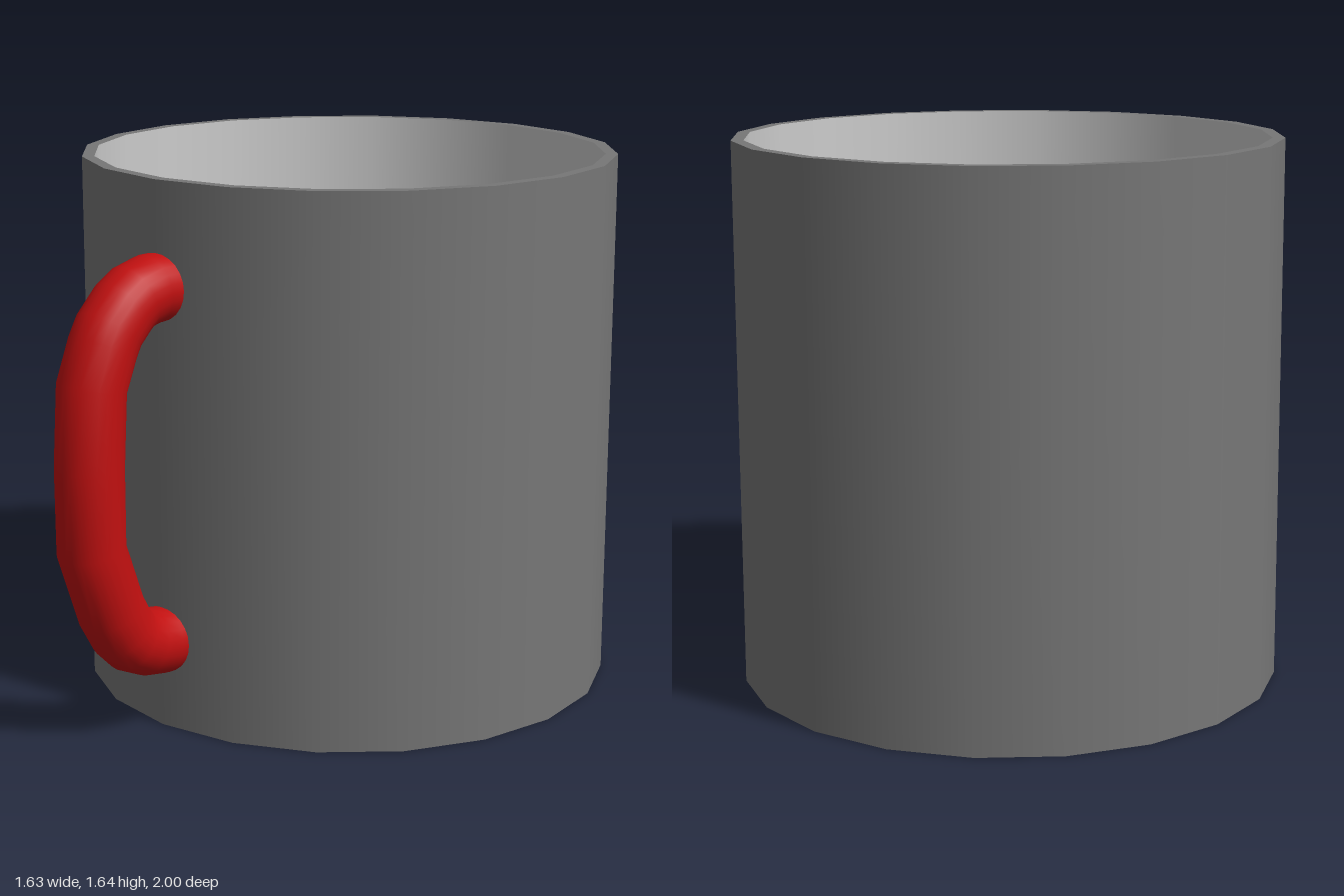
import * as THREE from 'three';

const SIDES = 20;
const R = 0.817, INNER = 0.78, HEIGHT = 1.64, FLOOR = 0.04, CENTRE_Z = -0.183;

// One band of the mug, turned from a two-point profile so its edges stay sharp
function band(name, from, to, material) {
  const profile = [new THREE.Vector2(...from), new THREE.Vector2(...to)];
  const mesh = new THREE.Mesh(new THREE.LatheGeometry(profile, SIDES), material);
  mesh.name = name;
  return mesh;
}

// Tube whose rings sit exactly on the given [z, y] points
function handleGeometry(points, radius) {
  const curve = new THREE.CatmullRomCurve3(points.map(([z, y]) => new THREE.Vector3(0, y, z)));
  curve.getPointAt = curve.getPoint;
  curve.getTangentAt = curve.getTangent;
  return new THREE.TubeGeometry(curve, points.length - 1, radius, 24);
}

export function createModel() {
  const model = new THREE.Group();
  model.name = 'mug';
  const shell = new THREE.MeshStandardMaterial({ color: 0x777777 });
  const lining = new THREE.MeshStandardMaterial({ color: 0xcccccc });
  const red = new THREE.MeshStandardMaterial({ color: 0xc01010 });

  // Cup: outside, rim, hollow inside and base
  const cup = new THREE.Group();
  cup.name = 'cup';
  cup.position.z = CENTRE_Z;
  cup.add(
    band('base', [0, 0], [R, 0], shell),
    band('outerWall', [R, 0], [R, HEIGHT], shell),
    band('rim', [R, HEIGHT], [INNER, HEIGHT], shell),
    band('innerWall', [INNER, HEIGHT], [INNER, FLOOR], lining),
    band('innerFloor', [INNER, FLOOR], [0, FLOOR], lining),
  );

  // Handle: bent tube whose ends are sunk into the wall
  const handle = new THREE.Mesh(handleGeometry([
    [0.6, 1.33], [0.66, 1.33], [0.72, 1.315], [0.76, 1.29], [0.815, 1.235], [0.84, 1.19],
    [0.885, 1.08], [0.9, 0.85], [0.9, 0.61], [0.83, 0.41], [0.79, 0.34], [0.755, 0.305],
    [0.7, 0.28], [0.64, 0.27], [0.6, 0.27],
  ], 0.1), red);
  handle.name = 'handle';

  model.add(cup, handle);
  return model;
}
